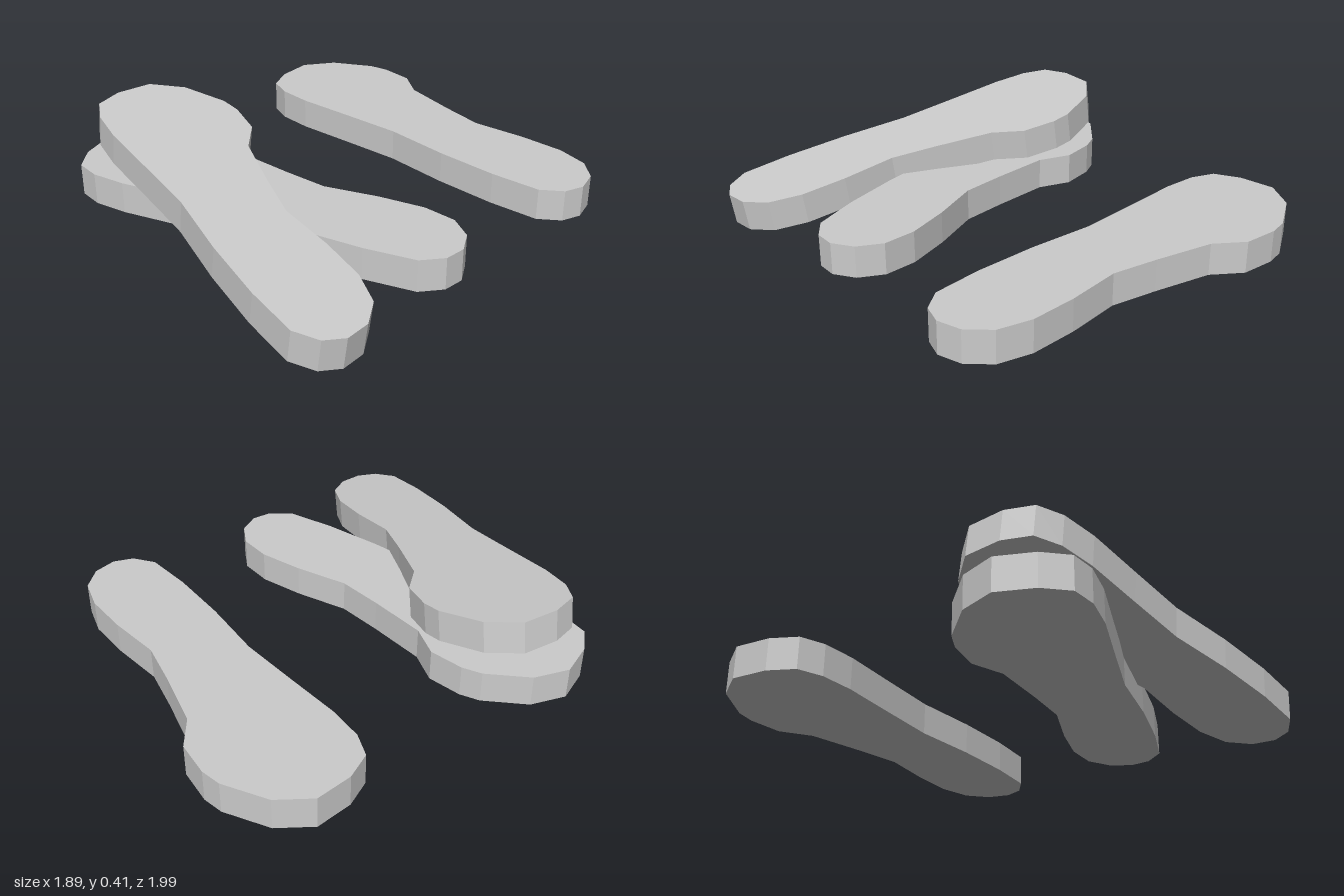
import * as THREE from 'three';

const THICKNESS = 0.145;

// Sole outline as [x, z], toe at -x and heel at +x
const OUTLINE = [
  [-0.95, -0.03], [-0.86, -0.17], [-0.68, -0.28], [-0.59, -0.3], [-0.43, -0.29], [-0.3, -0.2],
  [-0.03, -0.145], [0.18, -0.11], [0.43, -0.145], [0.64, -0.155], [0.79, -0.12], [0.88, -0.035],
  [0.91, 0.07], [0.88, 0.16], [0.79, 0.23], [0.56, 0.255], [0.27, 0.26], [-0.04, 0.245],
  [-0.33, 0.27], [-0.6, 0.295], [-0.76, 0.29], [-0.87, 0.25], [-0.93, 0.135],
];

// Flat slab standing on its own y = 0
function soleGeometry() {
  const shape = new THREE.Shape(OUTLINE.map(([x, z]) => new THREE.Vector2(x, -z)));
  const geometry = new THREE.ExtrudeGeometry(shape, { depth: THICKNESS, bevelEnabled: false });
  return geometry.rotateX(-Math.PI / 2);
}

export function createModel() {
  const group = new THREE.Group();
  group.name = 'soles';
  const geometry = soleGeometry();
  const material = new THREE.MeshStandardMaterial({ color: 0xcccccc, flatShading: true });

  // Two soles lie flat, the third leans across the lower front one
  const placements = [
    { name: 'backSole', position: [0, 0.008, -0.7], yaw: 0, tilt: 0 },
    { name: 'lowerFrontSole', position: [-0.026, 0.008, 0.319], yaw: 16, tilt: 0 },
    { name: 'leaningSole', position: [0.056, 0.128, 0.597], yaw: -12.1, tilt: -8.4 },
  ];
  for (const { name, position, yaw, tilt } of placements) {
    const sole = new THREE.Mesh(geometry, material);
    sole.name = name;
    sole.position.set(...position);
    // Yaw first, then tilt about the world z axis
    sole.rotation.set(0, THREE.MathUtils.degToRad(yaw), THREE.MathUtils.degToRad(tilt), 'ZYX');
    group.add(sole);
  }
  return group;
}
